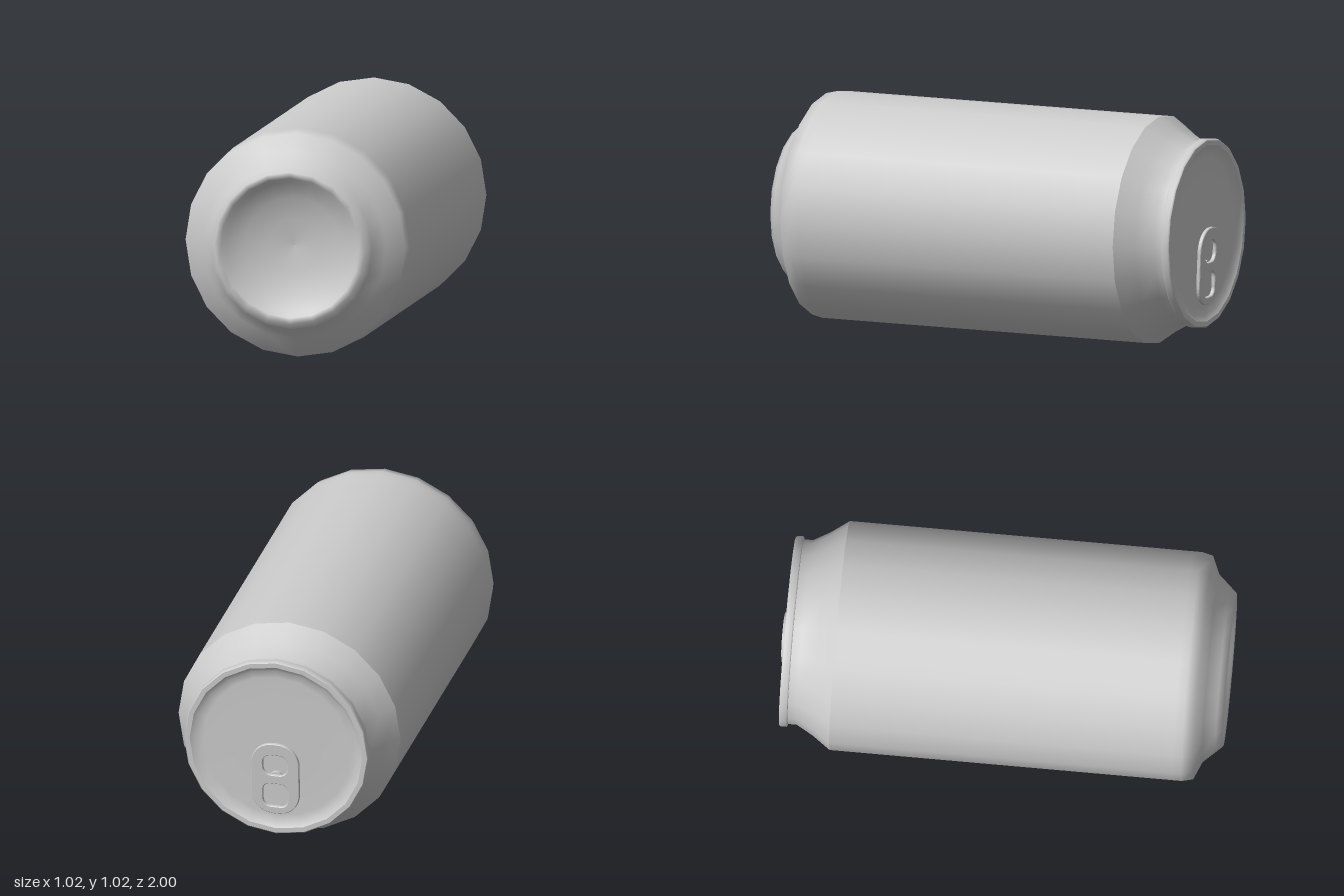
import * as THREE from 'three';

const SIDES = 20;
const RADIUS = 0.512;
const material = new THREE.MeshStandardMaterial({ color: 0xcccccc, side: THREE.DoubleSide });

// Surface of revolution about the can's axis; profile is [radius, z] from back to front.
function turned(name, profile) {
  const geometry = new THREE.LatheGeometry(profile.map(([r, z]) => new THREE.Vector2(r, z)), SIDES);
  geometry.rotateX(Math.PI / 2);
  const mesh = new THREE.Mesh(geometry, material);
  mesh.name = name;
  return mesh;
}

// Rounded rectangle centred on (cx, cy).
function roundedRect(target, cx, cy, w, h, r) {
  const x = w / 2 - r, y = h / 2 - r;
  target.absarc(cx + x, cy + y, r, 0, Math.PI / 2);
  target.absarc(cx - x, cy + y, r, Math.PI / 2, Math.PI);
  target.absarc(cx - x, cy - y, r, Math.PI, Math.PI * 1.5);
  target.absarc(cx + x, cy - y, r, Math.PI * 1.5, Math.PI * 2);
  target.closePath();
  return target;
}

export function createModel() {
  const model = new THREE.Group();
  model.name = 'drinkCan';

  const can = new THREE.Group();
  can.name = 'can';
  can.position.y = RADIUS;
  model.add(can);

  // Straight wall running into the stepped foot and the hollow underside
  can.add(turned('body', [
    [RADIUS, -0.745], [RADIUS, 0.79], [RADIUS, 0.83], [0.5, 0.88], [0.42, 0.915],
    [0.37, 0.97], [0.342, 1], [0.315, 0.995], [0.295, 0.97], [0.22, 0.935], [0.12, 0.91], [0, 0.9],
  ]));

  // Tapered shoulder and short neck
  can.add(turned('shoulder', [
    [0.413, -0.942], [0.413, -0.9], [0.455, -0.825], [RADIUS, -0.745],
  ]));

  // Rolled rim: back face, outer band, front face, each with a crisp edge
  can.add(turned('rimFace', [[0.398, -0.978], [0.42, -0.978]]));
  can.add(turned('rimBand', [[0.42, -0.978], [0.426, -0.972], [0.426, -0.945], [0.42, -0.94]]));
  can.add(turned('rimUnderside', [[0.42, -0.94], [0.41, -0.94]]));

  // Dished lid
  can.add(turned('lid', [
    [0, -0.957], [0.2, -0.957], [0.34, -0.957], [0.375, -0.962], [0.398, -0.978],
  ]));

  // Pull tab with two openings, tilted so its lower end lifts off the lid
  const outline = roundedRect(new THREE.Shape(), 0, 0, 0.22, 0.35, 0.1);
  outline.holes.push(
    roundedRect(new THREE.Path(), 0, 0.068, 0.115, 0.1, 0.04),
    roundedRect(new THREE.Path(), 0, -0.082, 0.115, 0.115, 0.035),
  );
  const tab = new THREE.Mesh(
    new THREE.ExtrudeGeometry(outline, {
      depth: 0.012, curveSegments: 5,
      bevelEnabled: true, bevelThickness: 0.003, bevelSize: 0.003, bevelOffset: -0.003, bevelSegments: 1,
    }),
    material,
  );
  tab.name = 'pullTab';
  tab.rotation.set(-0.04, Math.PI, 0, 'XYZ');
  tab.position.set(0, -0.147, -0.978);
  can.add(tab);

  // Rivet holding the tab to the lid
  const rivet = new THREE.Mesh(new THREE.CylinderGeometry(0.03, 0.03, 0.025, 12), material);
  rivet.name = 'rivet';
  rivet.rotation.x = Math.PI / 2;
  rivet.position.set(0, -0.15, -0.967);
  can.add(rivet);

  return model;
}
